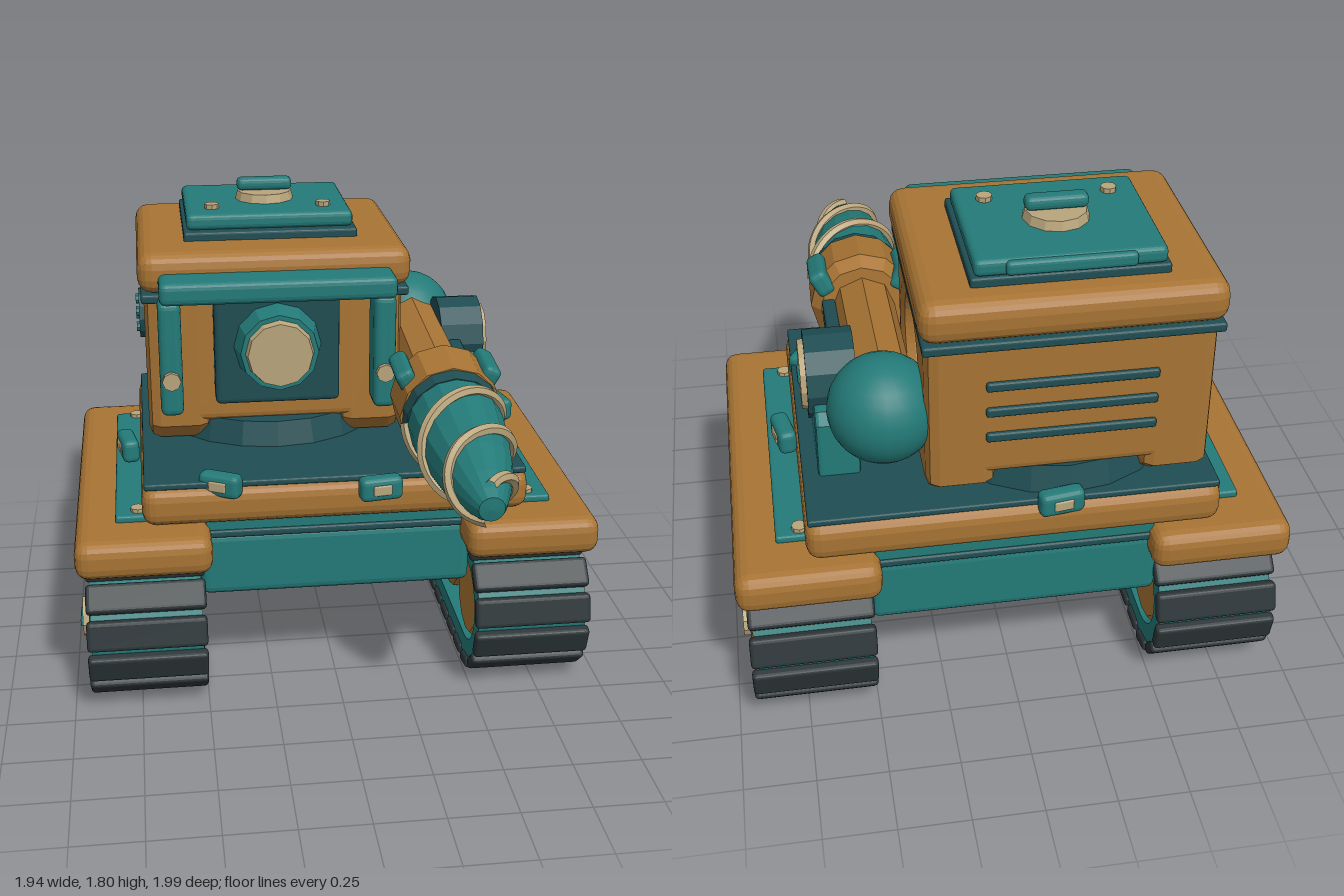
import * as THREE from 'three';
import { RoundedBoxGeometry } from 'three/addons/geometries/RoundedBoxGeometry.js';

const mat = (color, flatShading = true) => new THREE.MeshStandardMaterial({ color, flatShading });
const teal = mat(0x237a78), dark = mat(0x1f4d52), orange = mat(0xa87434);
const beige = mat(0xb9a57c), rubber = mat(0x2c3538), smoothTeal = mat(0x237a78, false);

function add(parent, name, geometry, material, x = 0, y = 0, z = 0) {
  const mesh = new THREE.Mesh(geometry, material);
  mesh.name = name;
  mesh.position.set(x, y, z);
  parent.add(mesh);
  return mesh;
}

function box(parent, name, material, size, pos, radius = 0.015) {
  const [w, h, d] = size;
  const r = Math.min(radius, Math.min(w, h, d) * 0.49);
  return add(parent, name, new RoundedBoxGeometry(w, h, d, 2, r), material, ...pos);
}

// Cylinder along the chosen axis, r1 at the positive end
function cyl(parent, name, material, axis, r1, r0, length, sides, pos) {
  const g = new THREE.CylinderGeometry(r1, r0, length, sides);
  if (axis === 'x') g.rotateZ(-Math.PI / 2);
  if (axis === 'z') g.rotateX(Math.PI / 2);
  return add(parent, name, g, material, ...pos);
}

function group(parent, name, x = 0, y = 0, z = 0) {
  const g = new THREE.Group();
  g.name = name;
  g.position.set(x, y, z);
  parent.add(g);
  return g;
}

// Stadium outline, straight half length h and end radius r
function stadium(target, h, r) {
  target.moveTo(-h, -r);
  target.lineTo(h, -r);
  target.absarc(h, 0, r, -Math.PI / 2, Math.PI / 2, false);
  target.lineTo(-h, r);
  target.absarc(-h, 0, r, Math.PI / 2, Math.PI * 1.5, false);
  return target;
}

// Shape drawn in (z, y) and extruded along x, centred on x
function sideExtrude(shape, width, bevel = 0) {
  const g = new THREE.ExtrudeGeometry(shape, {
    depth: width - 2 * bevel, bevelEnabled: bevel > 0, bevelThickness: bevel,
    bevelSize: bevel, bevelOffset: -bevel, bevelSegments: 2, curveSegments: 10 });
  return g.translate(0, 0, bevel - width / 2).rotateY(-Math.PI / 2);
}

function buildTrack(root, s) {
  const track = group(root, 'track', s * 0.72, 0.275, -0.245);
  const half = 0.48, r = 0.252, count = 26;
  const band = stadium(new THREE.Shape(), half, 0.245);
  band.holes.push(stadium(new THREE.Path(), half, 0.165));
  add(track, 'trackBand', sideExtrude(band, 0.41), teal);

  // Tread pads spaced evenly round the loop
  const straight = 2 * half, arc = Math.PI * r, total = 2 * (straight + arc);
  for (let i = 0; i < count; i++) {
    let d = (i + 0.5) * total / count;
    const flip = d >= total / 2 ? -1 : 1;
    if (flip < 0) d -= total / 2;
    const a = d < straight ? -Math.PI / 2 : -Math.PI / 2 + (d - straight) / r;
    const z = d < straight ? d - half : half + r * Math.cos(a);
    const pad = box(track, 'treadPad', rubber, [0.44, 0.045, 0.112],
      [0, flip * r * Math.sin(a), flip * z], 0.015);
    pad.rotation.x = Math.PI / 2 - a + (flip < 0 ? Math.PI : 0);
  }

  // Road wheels with rounded rims, hubs and caps
  const rim = [[0, -0.2], [0.15, -0.2], [0.19, -0.17], [0.19, 0.17], [0.165, 0.21], [0.125, 0.21], [0.11, 0.19], [0, 0.19]]
    .map(p => new THREE.Vector2(...p));
  [0.478, 0, -0.482].forEach((z, i) => {
    const wheel = group(track, 'wheel', 0, 0.013, z);
    add(wheel, 'rim', new THREE.LatheGeometry(rim, 12).rotateZ(-s * Math.PI / 2), orange);
    cyl(wheel, 'hub', dark, 'x', 0.115, 0.115, 0.03, 12, [s * 0.2, 0, 0]);
    cyl(wheel, 'hubCap', beige, 'x', i ? 0.055 : 0.075, i ? 0.055 : 0.075, 0.05, 10, [s * 0.215, 0, 0]);
    if (!i) box(wheel, 'capSlot', teal, [0.015, 0.028, 0.11], [s * 0.242, 0, 0], 0.005);
  });

  // Fender over the track
  box(root, 'fender', orange, [0.5, 0.145, 1.46], [s * 0.72, 0.613, -0.265], 0.05);
  box(root, 'fenderStrip', teal, [0.14, 0.03, 1.07], [s * 0.75, 0.695, -0.265], 0.01);
  for (const z of [-0.76, 0.22]) cyl(root, 'fenderBolt', beige, 'y', 0.028, 0.028, 0.03, 8, [s * 0.735, 0.71, z]);
}

function buildHull(root) {
  box(root, 'lowerHull', teal, [1.02, 0.25, 1.2], [0, 0.505, -0.3], 0.03);
  box(root, 'hullSeam', dark, [1.0, 0.03, 1.22], [0, 0.635, -0.3], 0.01);
  box(root, 'hullNeck', teal, [0.98, 0.07, 1.2], [0, 0.675, -0.3], 0.01);
  box(root, 'deck', orange, [1.44, 0.15, 1.27], [0, 0.76, -0.295], 0.05);
  box(root, 'deckPlate', dark, [1.42, 0.025, 1.23], [0, 0.84, -0.295], 0.008);
  // Clamps round the deck: x, z, heading of the long side
  [[-0.765, -0.105, 1.75], [-0.43, 0.31, -0.5], [0.145, 0.41, 0.15],
    [0.655, 0.12, 1.05], [0.76, -0.37, 1.77], [-0.15, -0.91, 0.15]].forEach(([x, z, a]) => {
    const clamp = group(root, 'deckClamp', x, 0.84, z);
    clamp.rotation.y = a;
    box(clamp, 'clampBody', teal, [0.16, 0.09, 0.065], [0, 0, 0], 0.022);
    box(clamp, 'clampPin', beige, [0.07, 0.04, 0.075], [0, 0, 0], 0.006);
  });
}

function buildCab(root) {
  const cab = group(root, 'cab', -0.19, 0, -0.44);
  cyl(cab, 'turretRing', dark, 'y', 0.42, 0.45, 0.1, 20, [0, 0.895, 0]);
  box(cab, 'cabCore', orange, [0.72, 0.52, 0.77], [0, 1.195, -0.025], 0.03);
  // Side panels with a scooped opening
  const panel = new THREE.Shape();
  panel.moveTo(-0.41, 0.9); panel.lineTo(-0.36, 0.86); panel.lineTo(0.31, 0.86);
  panel.lineTo(0.36, 0.92); panel.lineTo(0.36, 1.46); panel.lineTo(-0.41, 1.46);
  panel.closePath();
  const scoop = new THREE.Path();
  scoop.moveTo(-0.14, 0.99); scoop.lineTo(0.14, 0.95);
  scoop.quadraticCurveTo(0.28, 1.06, 0.25, 1.2);
  scoop.quadraticCurveTo(0.2, 1.36, 0.0, 1.37);
  scoop.quadraticCurveTo(-0.18, 1.36, -0.18, 1.2);
  scoop.closePath();
  panel.holes.push(scoop);
  for (const s of [-1, 1]) {
    add(cab, 'cabSide', sideExtrude(panel, 0.24, 0.045), orange, s * 0.37, 0, 0);
    box(cab, 'windowPost', teal, [0.085, 0.44, 0.15], [s * 0.4, 1.24, 0.445], 0.025);
    cyl(cab, 'postBolt', beige, 'z', 0.035, 0.035, 0.03, 8, [s * 0.4, 1.165, 0.525]);
  }
  // Bolted cover in the right scoop
  cyl(cab, 'sideAxle', dark, 'x', 0.06, 0.06, 0.14, 10, [-0.42, 1.25, 0.02]);
  cyl(cab, 'sideCover', dark, 'x', 0.1, 0.1, 0.03, 12, [-0.495, 1.28, 0.02]);
  for (let i = 0; i < 4; i++) {
    const a = i * Math.PI / 2 + 0.4;
    cyl(cab, 'coverBolt', teal, 'x', 0.02, 0.02, 0.02, 8,
      [-0.512, 1.28 + 0.055 * Math.sin(a), 0.02 + 0.055 * Math.cos(a)]);
  }
  // Rear vents
  for (let i = 0; i < 3; i++) box(cab, 'ventSlot', dark, [0.58, 0.035, 0.03], [0, 1.09 + i * 0.1, -0.41], 0.01);

  // Window, lens and visor
  box(cab, 'windowFrame', dark, [0.47, 0.42, 0.11], [0, 1.25, 0.41], 0.02);
  cyl(cab, 'lensRing', teal, 'z', 0.145, 0.165, 0.1, 12, [0, 1.27, 0.51]);
  cyl(cab, 'lens', beige, 'z', 0.12, 0.132, 0.05, 12, [0, 1.27, 0.565]);
  box(cab, 'visor', teal, [0.87, 0.085, 0.24], [0, 1.508, 0.465], 0.025);

  // Roof and hatch
  box(cab, 'roofSeal', dark, [1.0, 0.035, 0.87], [0, 1.453, 0], 0.01);
  box(cab, 'roof', orange, [1.02, 0.15, 0.89], [0, 1.545, 0], 0.055);
  box(cab, 'hatchBase', dark, [0.66, 0.04, 0.58], [0, 1.632, -0.045], 0.01);
  box(cab, 'hatch', teal, [0.635, 0.06, 0.54], [0, 1.68, -0.06], 0.02);
  box(cab, 'hatchHinge', teal, [0.43, 0.05, 0.04], [0, 1.68, -0.325], 0.015);
  cyl(cab, 'hatchDisc', beige, 'y', 0.105, 0.115, 0.035, 12, [0, 1.725, -0.06]);
  box(cab, 'hatchHandle', teal, [0.215, 0.05, 0.06], [0, 1.768, -0.06], 0.02);
  for (const s of [-1, 1]) cyl(cab, 'hatchBolt', beige, 'y', 0.028, 0.028, 0.025, 8, [s * 0.215, 1.715, 0.095]);
}

function buildDrillArm(root) {
  // Shoulder pedestal and pivot
  const bracket = new THREE.Shape();
  [[-0.21, 0.85], [0.2, 0.85], [0.2, 0.99], [0.16, 1.1], [-0.18, 1.1], [-0.21, 1.06]]
    .forEach(([z, y], i) => i ? bracket.lineTo(z, y) : bracket.moveTo(z, y));
  add(root, 'shoulderBracket', sideExtrude(bracket, 0.15, 0.015), teal, 0.58, 0, -0.455);
  cyl(root, 'shoulderPivot', dark, 'x', 0.155, 0.155, 0.17, 12, [0.585, 1.136, -0.445]);
  cyl(root, 'pivotCap', beige, 'x', 0.12, 0.125, 0.03, 12, [0.675, 1.136, -0.445]);
  box(root, 'pivotSlot', teal, [0.015, 0.028, 0.1], [0.69, 1.136, -0.445], 0.005).rotation.x = 0.095;
  add(root, 'shoulderBall', new THREE.SphereGeometry(0.19, 24, 16), smoothTeal, 0.425, 1.14, -0.695);

  // Arm aims along local z, tipped slightly down
  const arm = group(root, 'drillArm', 0.42, 1.136, -0.445);
  arm.rotation.x = 0.095;
  cyl(arm, 'upperArm', orange, 'z', 0.12, 0.115, 0.72, 8, [0, 0, 0.24]);
  box(arm, 'armRail', dark, [0.05, 0.08, 0.36], [0.13, 0, 0.33], 0.01);
  cyl(arm, 'collarBack', orange, 'z', 0.195, 0.16, 0.05, 12, [0, 0, 0.525]);
  cyl(arm, 'collar', orange, 'z', 0.19, 0.195, 0.2, 12, [0, 0, 0.65]);
  cyl(arm, 'collarRing', dark, 'z', 0.175, 0.185, 0.06, 14, [0, 0, 0.775]);
  for (const s of [-1, 1]) {
    const clamp = box(arm, 'collarClamp', teal, [0.07, 0.1, 0.2], [s * 0.15, 0.105, 0.59], 0.022);
    clamp.rotation.z = -s * 0.5;
  }

  // Drill bit and its two spiral flutes
  const profile = [[0, 0.76], [0.172, 0.76], [0.168, 0.9], [0.152, 1.05], [0.128, 1.2],
    [0.09, 1.33], [0.064, 1.4], [0.045, 1.438], [0, 1.443]];
  const bit = new THREE.LatheGeometry(profile.map(p => new THREE.Vector2(...p)), 16).rotateX(Math.PI / 2);
  add(arm, 'drillBit', bit, teal);
  const radiusAt = z => {
    const i = profile.findIndex(p => p[1] > z);
    const [r0, z0] = profile[i - 1], [r1, z1] = profile[i];
    return r0 + (r1 - r0) * (z - z0) / (z1 - z0);
  };
  for (const start of [0, Math.PI]) {
    const points = [];
    for (let i = 0; i <= 40; i++) {
      const z = 0.79 + 0.61 * i / 40, a = start + i / 40 * Math.PI * 2.5, r = radiusAt(z) + 0.004;
      points.push(new THREE.Vector3(r * Math.cos(a), r * Math.sin(a), z));
    }
    add(arm, 'drillFlute', new THREE.TubeGeometry(new THREE.CatmullRomCurve3(points), 70, 0.021, 6), beige);
  }
}

export function createModel() {
  const root = new THREE.Group();
  root.name = 'drillVehicle';
  for (const s of [-1, 1]) buildTrack(root, s);
  buildHull(root);
  buildCab(root);
  buildDrillArm(root);
  return root;
}
